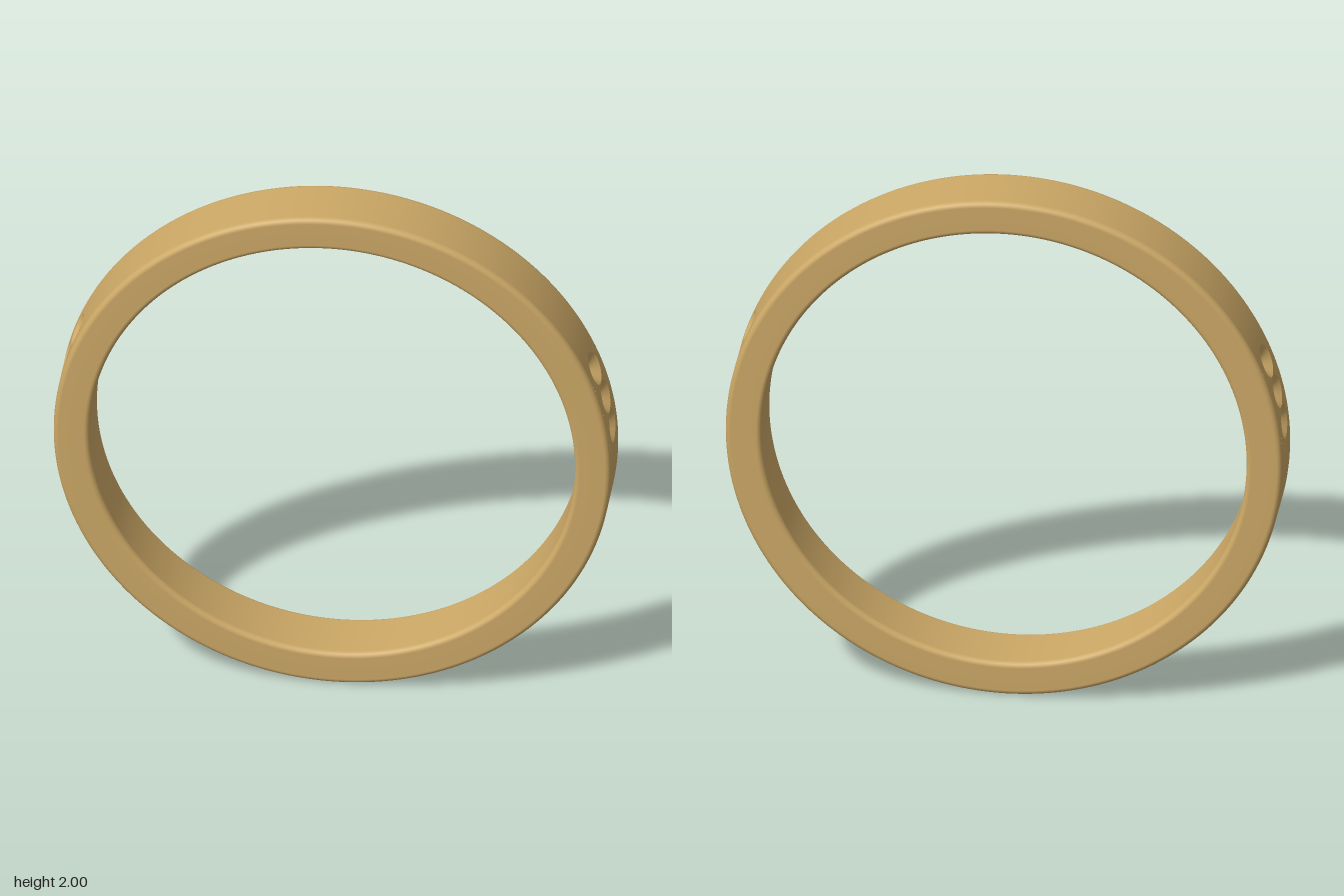
import * as THREE from 'three';

const R = 1, INNER = 0.87, HALF = 0.115, FILLET = 0.02;
const WALL = HALF - FILLET;                 // half height of the straight outer wall
const PITCH = THREE.MathUtils.degToRad(7.2); // angle between neighbouring dimples
const HOLE = 0.061, DEPTH = 0.05, COLS = 48;

// Lathe turned so that its axis is z; angles are measured from +x
function latheZ(points, segments, start = 0, length = Math.PI * 2) {
  return new THREE.LatheGeometry(points, segments, start + Math.PI / 2, length).rotateX(Math.PI / 2);
}

// Closed rings of points joined from the outermost to the innermost
function ringSurface(rows, pointAt) {
  const pos = [], index = [];
  for (let i = 0; i < rows; i++)
    for (let j = 0; j < COLS; j++) pos.push(...pointAt(i / (rows - 1), (j / COLS) * Math.PI * 2));
  for (let i = 0; i < rows - 1; i++)
    for (let j = 0; j < COLS; j++) {
      const k = (j + 1) % COLS, a = i * COLS;
      index.push(a + j, a + k, a + COLS + j, a + k, a + COLS + k, a + COLS + j);
    }
  const g = new THREE.BufferGeometry();
  g.setAttribute('position', new THREE.Float32BufferAttribute(pos, 3));
  g.setIndex(index);
  g.computeVertexNormals();
  return g;
}

// Point on the band: angle, height along z, depth below the outer wall
const onBand = (angle, z, depth = 0) =>
  [(R - depth) * Math.cos(angle), (R - depth) * Math.sin(angle), z];

export function createModel() {
  const group = new THREE.Group();
  group.name = 'ring';
  const material = new THREE.MeshStandardMaterial({ color: 0xcca866 });
  const add = (geometry, name) => {
    const mesh = new THREE.Mesh(geometry, material);
    mesh.name = name;
    mesh.position.y = R;
    group.add(mesh);
  };

  // Rounded edges, side faces and inner wall
  const profile = [];
  const corner = (cx, cy, from) => {
    for (let i = 0; i <= 6; i++) {
      const a = from + (i / 6) * Math.PI / 2;
      profile.push(new THREE.Vector2(cx + FILLET * Math.cos(a), cy + FILLET * Math.sin(a)));
    }
  };
  corner(R - FILLET, WALL, 0);
  corner(INNER + FILLET, WALL, Math.PI / 2);
  corner(INNER + FILLET, -WALL, Math.PI);
  corner(R - FILLET, -WALL, Math.PI * 1.5);
  add(latheZ(profile, 200), 'bandBody');

  // Plain stretches of the outer wall, above and below the dimples
  const wall = [new THREE.Vector2(R, -WALL), new THREE.Vector2(R, WALL)];
  const top = PITCH * 3.5, low = Math.PI - PITCH / 2;
  add(latheZ(wall, 72, top, Math.PI - 2 * top), 'upperOuterWall');
  add(latheZ(wall, 104, low, Math.PI + PITCH), 'lowerOuterWall');

  // Three drilled dimples on each side, each in its own wall cell
  for (const side of ['left', 'right'])
    for (let k = 1; k <= 3; k++) {
      const mid = side === 'left' ? k * PITCH : Math.PI - k * PITCH;
      const plate = ringSurface(4, (t, a) => {
        const c = Math.cos(a), s = Math.sin(a), m = Math.max(Math.abs(c), Math.abs(s));
        const u = THREE.MathUtils.lerp((PITCH / 2) * c / m, HOLE * c, t);
        const v = THREE.MathUtils.lerp(WALL * s / m, HOLE * s, t);
        return onBand(mid + u, v);
      });
      // Plate normals follow the cylinder
      const p = plate.attributes.position;
      for (let i = 0; i < p.count; i++) plate.attributes.normal.setXYZ(i, p.getX(i), p.getY(i), 0);
      add(plate, side + 'DimplePlate' + k);

      const cone = ringSurface(7, (t, a) => {
        const r = HOLE * (1 - t);
        return onBand(mid + r * Math.cos(a), r * Math.sin(a), DEPTH * t);
      });
      add(cone, side + 'Dimple' + k);
    }
  return group;
}
